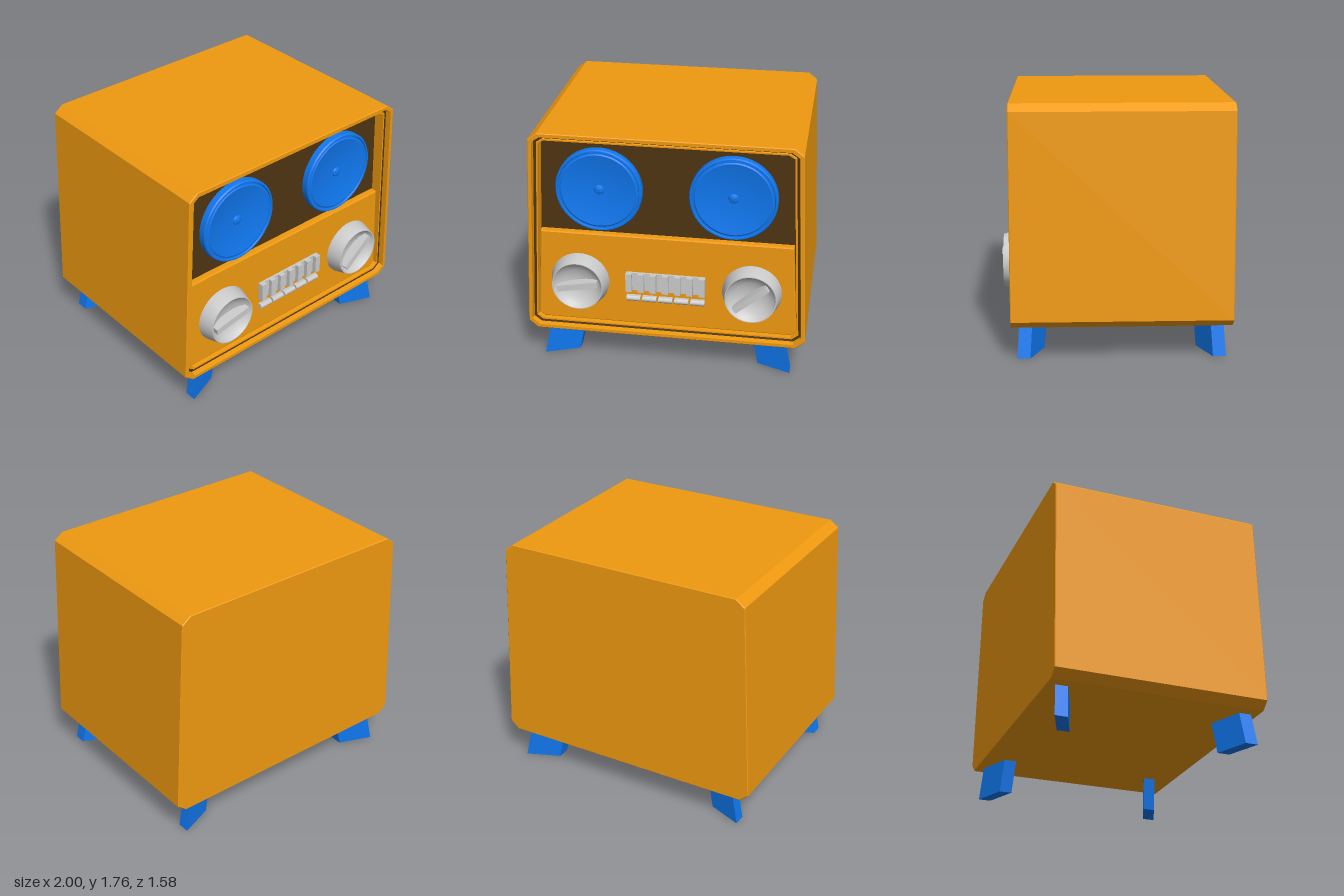
import * as THREE from 'three';
import { toCreasedNormals } from 'three/addons/utils/BufferGeometryUtils.js';

const mat = (color) => new THREE.MeshStandardMaterial({ color });

// Chamfered trapezoid of the cabinet, inset by d, counter-clockwise from the front
function outline(d) {
  const half = [
    [0.935 - d * 0.6, 0.235 + d], [1 - d, 0.29 + d * 0.6],
    [0.935 - d, 1.71 - d * 0.6], [0.87 - d * 0.6, 1.76 - d],
  ];
  return [...half, ...half.slice().reverse().map(([x, y]) => [-x, y])];
}

// Skin of [inset, z] cross-sections running from back to front
function skin(sections, capBack) {
  const pos = [];
  const loops = sections.map(([d, z]) => outline(d).map(([x, y]) => [x, y, z]));
  for (let k = 0; k < loops.length - 1; k++) {
    const a = loops[k], b = loops[k + 1], n = a.length;
    for (let i = 0; i < n; i++) {
      const j = (i + 1) % n;
      pos.push(...a[i], ...a[j], ...b[j], ...a[i], ...b[j], ...b[i]);
    }
  }
  if (capBack) {
    const a = loops[0];
    for (let i = 1; i < a.length - 1; i++) pos.push(...a[0], ...a[i + 1], ...a[i]);
  }
  const g = new THREE.BufferGeometry();
  g.setAttribute('position', new THREE.Float32BufferAttribute(pos, 3));
  g.computeVertexNormals();
  return g;
}

// Turned part whose axis points to the front; profile is [radius, z]
function turned(profile) {
  const pts = profile.map(([r, z]) => new THREE.Vector2(r, z));
  const g = new THREE.LatheGeometry(pts, 48).rotateX(Math.PI / 2);
  return toCreasedNormals(g, 0.5);
}

export function createModel() {
  const model = new THREE.Group();
  const orange = mat(0xf09a10), dark = mat(0x4f3512), blue = mat(0x1078f0), grey = mat(0xcccccc);
  const add = (name, geometry, material, x = 0, y = 0, z = 0, parent = model) => {
    const mesh = new THREE.Mesh(geometry, material);
    mesh.name = name;
    mesh.position.set(x, y, z);
    parent.add(mesh);
    return mesh;
  };

  // Cabinet shell with its front rim, dark gasket and inner frame
  add('cabinet', skin([[0.005, -0.79], [0, -0.785], [0, 0.725], [0.005, 0.73], [0.028, 0.73], [0.033, 0.69]], true), orange);
  add('gasket', skin([[0.033, 0.69], [0.05, 0.685]]), dark);
  add('innerFrame', skin([[0.05, 0.685], [0.053, 0.695], [0.063, 0.695], [0.068, 0.62]]), orange);

  // Recessed speaker panel
  const back = new THREE.Shape(outline(0.066).map(([x, y]) => new THREE.Vector2(x, y)));
  add('speakerPanel', new THREE.ShapeGeometry(back), dark, 0, 0, 0.62);

  // Raised control panel on the lower half
  const o = outline(0.076);
  const panel = new THREE.Shape([o[0], o[1], [0.885, 0.993], [-0.885, 0.993], o[6], o[7]]
    .map(([x, y]) => new THREE.Vector2(x, y)));
  add('controlPanel', new THREE.ExtrudeGeometry(panel, {
    depth: 0.06, bevelEnabled: true, bevelSize: 0.008, bevelThickness: 0.01, bevelSegments: 2,
  }), orange, 0, 0, 0.6);

  // Speakers: rim, shallow cone and centre cap
  const speaker = turned([
    [0.305, 0], [0.305, 0.045], [0.298, 0.055], [0.288, 0.055], [0.284, 0.046],
    [0.274, 0.046], [0.265, 0.052], [0.18, 0.036], [0.1, 0.029], [0.035, 0.027],
    [0.03, 0.036], [0.016, 0.042], [0, 0.044],
  ]);
  for (const s of [-1, 1]) add(s > 0 ? 'leftSpeaker' : 'rightSpeaker', speaker, blue, s * 0.467, 1.335, 0.62);

  // Dished knobs with a pointer bar
  const dish = turned([
    [0.21, 0], [0.21, 0.01], [0.182, 0.11], [0.176, 0.11], [0.155, 0.083],
    [0.11, 0.058], [0.06, 0.045], [0, 0.04],
  ]);
  for (const [name, x, angle] of [['rightKnob', -0.617, 0.18], ['leftKnob', 0.612, 0.69]]) {
    const knob = new THREE.Group();
    knob.name = name;
    knob.position.set(x, 0.63, 0.67);
    knob.rotation.z = angle;
    add('knobDish', dish, grey, 0, 0, 0, knob);
    add('pointerBar', new THREE.BoxGeometry(0.295, 0.045, 0.08), grey, 0, 0, 0.078, knob);
    model.add(knob);
  }

  // Dial grille of alternating slats
  const grille = new THREE.Group();
  grille.name = 'grille';
  const slats = 13, pitch = 0.565 / slats;
  for (let i = 0; i < slats; i++) {
    const depth = i % 2 ? 0.025 : 0.055;
    add('slat', new THREE.BoxGeometry(pitch, 0.14, depth), grey, -0.2825 + (i + 0.5) * pitch, 0.652, 0.66 + depth / 2, grille);
  }
  model.add(grille);

  // Row of rounded push buttons
  const key = new THREE.Shape();
  key.moveTo(0, -0.02).lineTo(0.035, -0.02).quadraticCurveTo(0.058, 0, 0.035, 0.02).lineTo(0, 0.02);
  const keyGeometry = new THREE.ExtrudeGeometry(key, { depth: 0.1, bevelEnabled: false, curveSegments: 6 })
    .translate(0, 0, -0.05).rotateY(-Math.PI / 2);
  for (let i = 0; i < 5; i++) add('button', keyGeometry, grey, (i - 2) * 0.115, 0.52, 0.66);

  // Skewed feet that lean outwards, one under each corner
  for (const sx of [-1, 1]) for (const sz of [-1, 1]) {
    const g = new THREE.BoxGeometry(1, 1, 1);
    const p = g.attributes.position;
    for (let i = 0; i < p.count; i++) {
      const u = p.getX(i) * sx, v = p.getY(i) + 0.5, w = p.getZ(i) * sz;
      p.setXYZ(i, sx * (0.78 + 0.24 * u - 0.052 * v), 0.25 * v,
        -0.03 + sz * (0.6275 + 0.095 * u + 0.09 * w - 0.015 * v));
    }
    g.computeVertexNormals();
    add((sz > 0 ? 'front' : 'back') + (sx > 0 ? 'Left' : 'Right') + 'Foot', g, blue);
  }
  return model;
}
